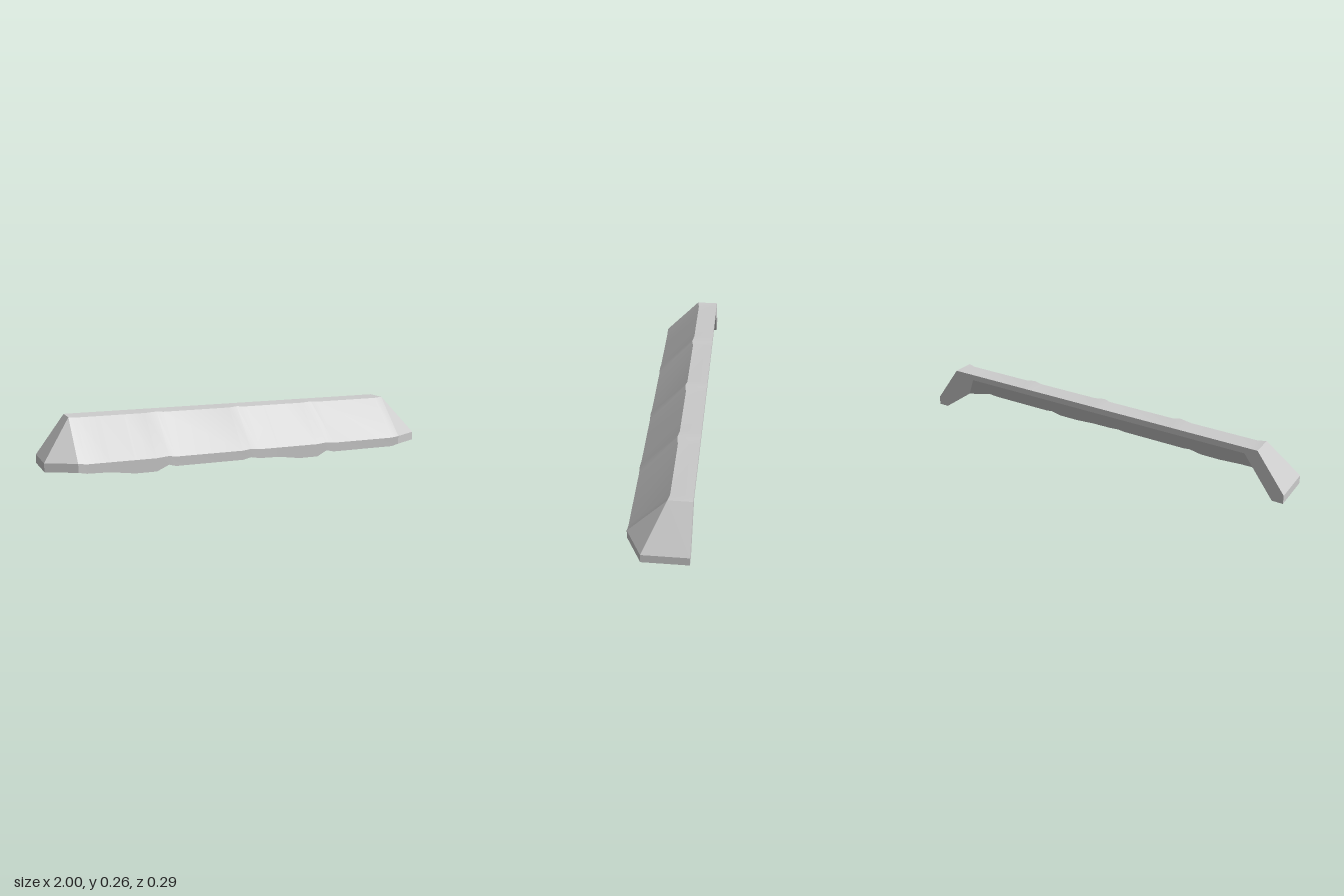
import * as THREE from 'three';
import { toCreasedNormals } from 'three/addons/utils/BufferGeometryUtils.js';

const BACK = -0.143;

// Closed section across the left or right end (side = -1 or 1); depth 0 = back edge, 1 = hip corner
function endSection(side, depth) {
  const z = (front) => BACK + (front - BACK) * depth;
  return [
    [0.86, 0.26, BACK], [0.86, 0.26, z(-0.035)], [1, 0.072, z(0.067)], [1, 0.03, z(0.067)],
    [0.947, 0.03, z(0.045)], [0.8, 0.23, z(-0.068)], [0.8, 0.23, BACK],
  ].map(([x, y, zz]) => new THREE.Vector3(side * x, y, zz));
}

// Closed section across the front slope: x, height of the hem, sag between the ribs
function frontSection([x, hem, sag]) {
  const drop = 0.03 - hem;
  return [
    [x, 0.26, BACK],
    [x, 0.26 - 0.005 * sag, -0.035 - 0.007 * sag],
    [x, 0.072 - 0.006 * sag, 0.143 - 0.002 * sag],
    [x, hem, 0.143 - 0.002 * sag],
    [x * 0.977, 0.03 - drop * 0.66, 0.1 + drop * 0.4],
    [x * 0.93, 0.23, -0.068 - 0.005 * sag],
    [x * 0.93, 0.23, BACK],
  ].map((p) => new THREE.Vector3(...p));
}

// Skin consecutive closed sections and cap both ends
function loft(sections) {
  const pos = [];
  const tri = (a, b, c) => {
    const area = b.clone().sub(a).cross(c.clone().sub(a)).length();
    if (area > 1e-7) for (const p of [a, b, c]) pos.push(p.x, p.y, p.z);
  };
  const n = sections[0].length;
  for (let i = 0; i < sections.length - 1; i++) {
    const s = sections[i], t = sections[i + 1];
    for (let j = 0; j < n; j++) {
      const k = (j + 1) % n;
      tri(s[j], s[k], t[k]);
      tri(s[j], t[k], t[j]);
    }
  }
  const first = sections[0], last = sections[sections.length - 1];
  for (let j = 1; j < n - 1; j++) {
    tri(first[0], first[j + 1], first[j]);
    tri(last[0], last[j], last[j + 1]);
  }
  const geo = new THREE.BufferGeometry();
  geo.setAttribute('position', new THREE.Float32BufferAttribute(pos, 3));
  return toCreasedNormals(geo, 0.35);
}

export function createModel() {
  const group = new THREE.Group();
  group.name = 'awning';

  // Stations along the front: ribs at x = 0 and +-0.43, uneven hem between
  const stations = [
    [-0.86, 0.03, 0], [-0.82, 0.022, 1], [-0.71, 0.019, 1], [-0.59, 0.002, 1],
    [-0.485, 0.002, 1], [-0.425, 0.03, 0], [-0.39, 0.02, 1], [-0.04, 0.02, 1],
    [0, 0.03, 0], [0.05, 0.021, 1], [0.16, 0.018, 1], [0.27, 0.002, 1],
    [0.375, 0.002, 1], [0.425, 0.03, 0], [0.47, 0.02, 1], [0.82, 0.02, 1], [0.86, 0.03, 0],
  ];
  const sections = [
    endSection(-1, 0), endSection(-1, 1),
    ...stations.map(frontSection),
    endSection(1, 1), endSection(1, 0),
  ];

  // Thick canopy shell, open at the back and underneath
  const canopy = new THREE.Mesh(loft(sections), new THREE.MeshStandardMaterial({ color: 0xcccccc }));
  canopy.name = 'canopyShell';
  canopy.position.y = -0.002;
  group.add(canopy);
  return group;
}
